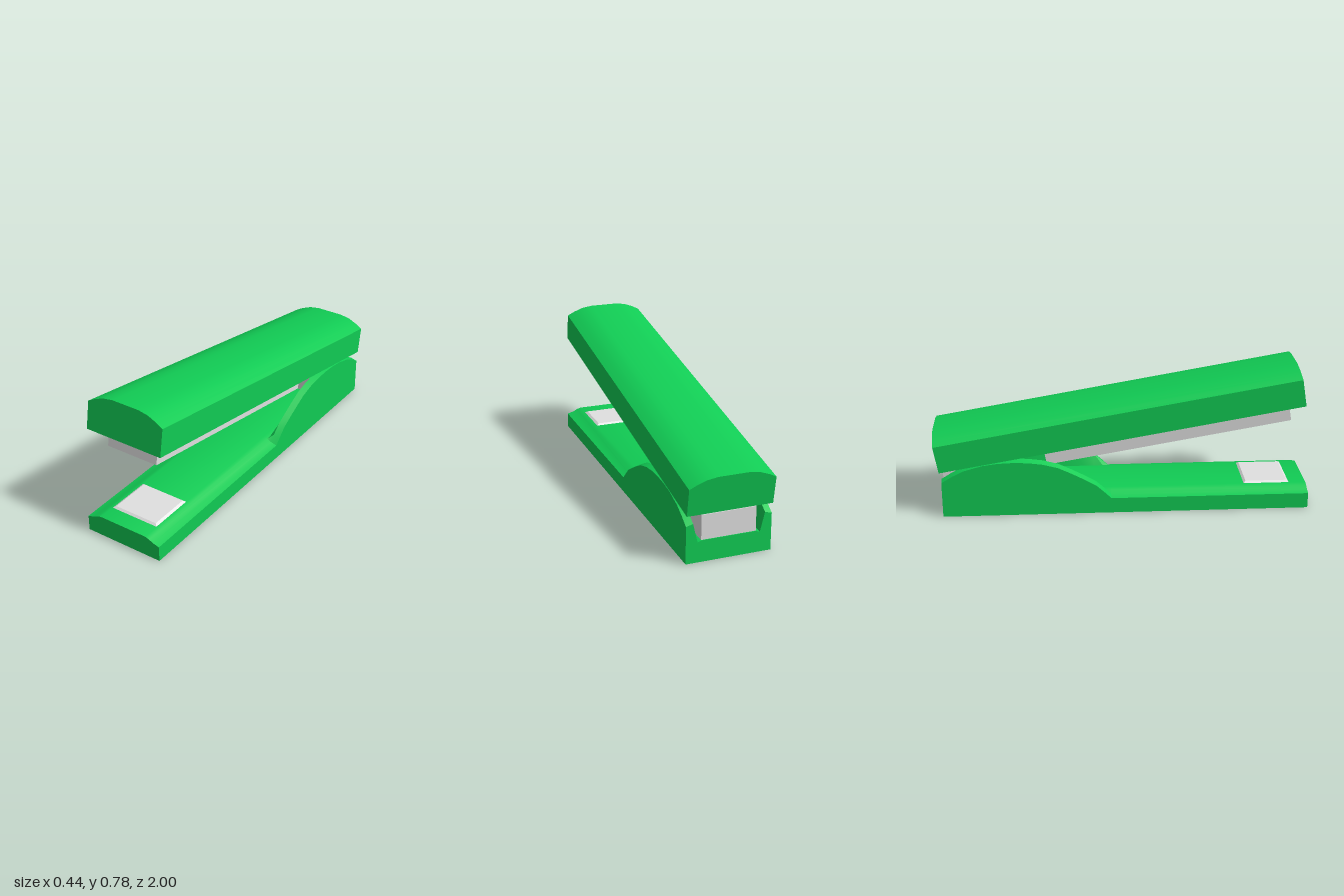
import * as THREE from 'three';
import { toCreasedNormals } from 'three/addons/utils/BufferGeometryUtils.js';

const green = new THREE.MeshStandardMaterial({ name: 'green plastic', color: 0x11cc54 });
const silver = new THREE.MeshStandardMaterial({ name: 'silver metal', color: 0xe0e0e0 });

// Mirrors the right half of an outline (bottom to top) into a full ring
const mirrored = (half) => [...half, ...half.map(([x, y]) => [-x, y]).reverse()];

// Skins matching outlines from front (+z) to back, and caps both ends
function loft(stations) {
  const pos = [];
  const put = (s, j) => pos.push(s.ring[j][0], s.ring[j][1], s.z);
  const n = stations[0].ring.length;
  for (let i = 0; i + 1 < stations.length; i++) {
    const f = stations[i], b = stations[i + 1];
    for (let j = 0; j < n; j++) {
      const k = (j + 1) % n;
      put(f, j); put(b, j); put(f, k);
      put(f, k); put(b, j); put(b, k);
    }
  }
  const cap = (s, flip) => {
    const contour = s.ring.map(([x, y]) => new THREE.Vector2(x, y));
    for (const [a, b, c] of THREE.ShapeUtils.triangulateShape(contour, []))
      (flip ? [a, c, b] : [a, b, c]).forEach((j) => put(s, j));
  };
  cap(stations[0], false);
  cap(stations[stations.length - 1], true);
  const geo = new THREE.BufferGeometry();
  geo.setAttribute('position', new THREE.Float32BufferAttribute(pos, 3));
  return toCreasedNormals(geo, 0.5);
}

function part(name, geo, material, x = 0, y = 0, z = 0) {
  const mesh = new THREE.Mesh(geo, material);
  mesh.name = name;
  mesh.position.set(x, y, z);
  return mesh;
}

export function createModel() {
  const model = new THREE.Group();
  model.name = 'stapler';

  // Base: flat tongue whose shoulders rise into two side walls; [z, shoulder height]
  const shoulders = [
    [1, 0.094], [-0.06, 0.094], [-0.09, 0.124], [-0.14, 0.17], [-0.2, 0.205],
    [-0.27, 0.242], [-0.34, 0.276], [-0.42, 0.298], [-0.5, 0.309], [-0.58, 0.312],
    [-0.66, 0.309], [-0.74, 0.298], [-0.84, 0.27], [-0.9, 0.24], [-0.955, 0.206],
  ];
  const base = loft(shoulders.map(([z, h]) => ({
    z,
    ring: mirrored([[0.222, 0], [0.222, h - 0.01], [0.186, h], [0.162, 0.106], [0.14, 0.113]]),
  })));
  model.add(part('base', base, green));

  // Anvil plate with bevelled rim
  const anvil = new THREE.BoxGeometry(0.28, 0.01, 0.25).toNonIndexed();
  const p = anvil.attributes.position;
  for (let i = 0; i < p.count; i++) {
    if (p.getY(i) > 0) {
      p.setX(i, p.getX(i) * 0.89);
      p.setZ(i, p.getZ(i) * 0.89);
    }
  }
  anvil.computeVertexNormals();
  model.add(part('anvilPlate', anvil, silver, 0, 0.1165, 0.785));

  // Hinge block between the side walls
  model.add(part('hingeBlock', new THREE.BoxGeometry(0.284, 0.143, 0.35), silver, 0, 0.1715, -0.776));

  // Raised arm: domed handle with the magazine rail below it
  const arm = new THREE.Group();
  arm.name = 'arm';
  arm.position.set(0, 0.419, -0.0025);
  arm.rotation.x = -0.171;
  const dome = mirrored([
    [0.222, 0], [0.222, 0.148], [0.185, 0.168], [0.134, 0.188], [0.078, 0.197],
  ]);
  arm.add(part('handle', loft([{ z: 0.9767, ring: dome }, { z: -0.9767, ring: dome }]), green));
  arm.add(part('magazineRail', new THREE.BoxGeometry(0.296, 0.113, 1.318), silver, 0, -0.0365, 0.24));
  model.add(arm);

  return model;
}
